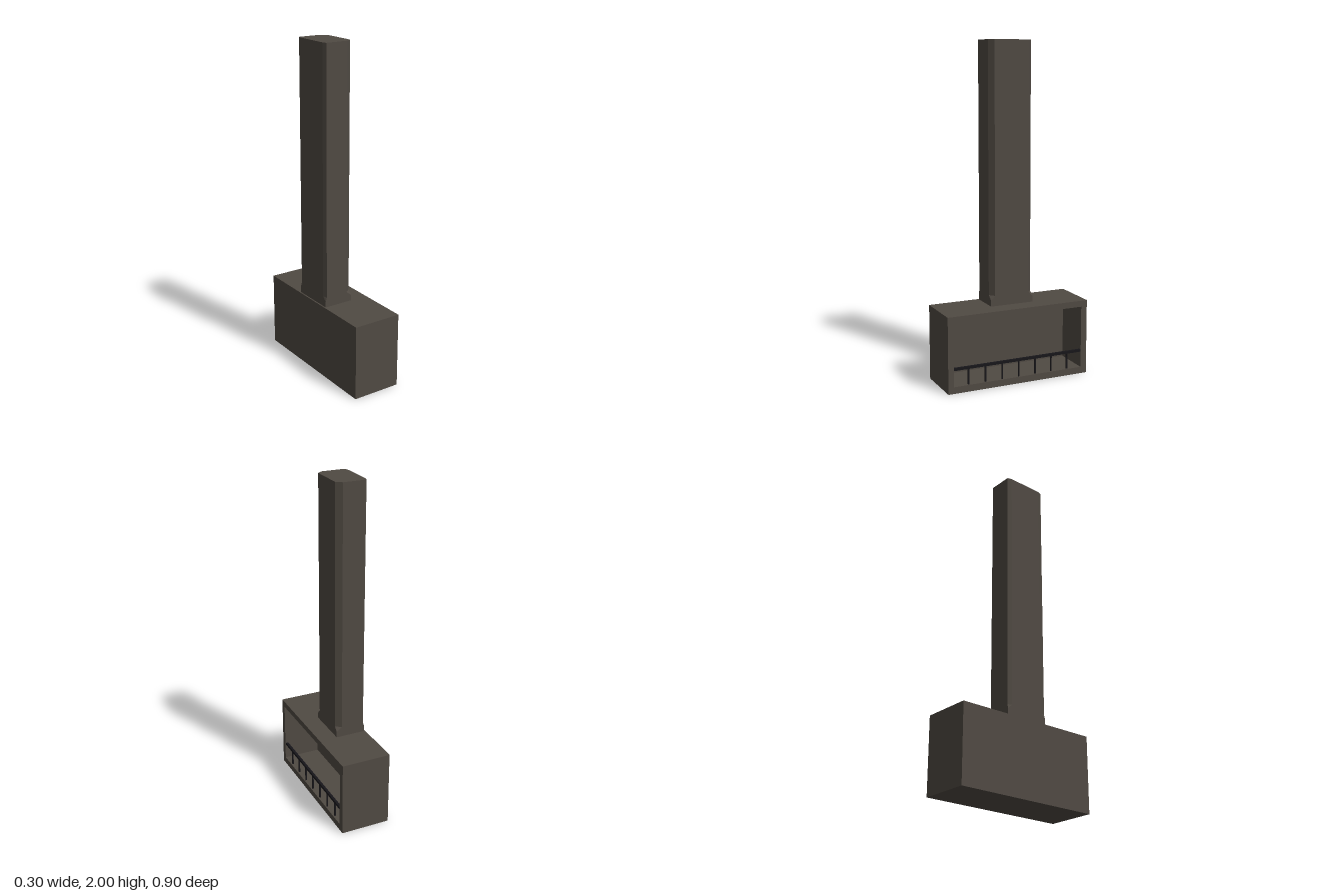
import * as THREE from 'three';

const stone = new THREE.MeshStandardMaterial({ color: 0x504a43, flatShading: true });
const iron = new THREE.MeshStandardMaterial({ color: 0x17161a, flatShading: true });

function add(group, name, geometry, material, x = 0, y = 0, z = 0) {
  const mesh = new THREE.Mesh(geometry, material);
  mesh.name = name;
  mesh.position.set(x, y, z);
  group.add(mesh);
  return mesh;
}

function rectangle(target, x0, y0, x1, y1) {
  target.moveTo(x0, y0);
  target.lineTo(x1, y0);
  target.lineTo(x1, y1);
  target.lineTo(x0, y1);
  target.closePath();
  return target;
}

// Flat-faced loft through closed rings, skipping collapsed triangles
function loft(rings) {
  const pos = [];
  const tri = (a, b, c) => {
    const area = b.clone().sub(a).cross(c.clone().sub(a)).length();
    if (area > 1e-9) [a, b, c].forEach((p) => pos.push(p.x, p.y, p.z));
  };
  const n = rings[0].length;
  for (let r = 0; r < rings.length - 1; r++) {
    const lo = rings[r], hi = rings[r + 1];
    for (let i = 0; i < n; i++) {
      const j = (i + 1) % n;
      tri(lo[i], lo[j], hi[j]);
      tri(lo[i], hi[j], hi[i]);
    }
  }
  const top = rings[rings.length - 1], bottom = rings[0];
  for (let i = 1; i < n - 1; i++) {
    tri(top[0], top[i], top[i + 1]);
    tri(bottom[0], bottom[i + 1], bottom[i]);
  }
  const geometry = new THREE.BufferGeometry();
  geometry.setAttribute('position', new THREE.Float32BufferAttribute(pos, 3));
  geometry.computeVertexNormals();
  return geometry;
}

// Chimney cross-section: k = 0 gives square corners, k = 1 full chamfers
function stackRing(y, k) {
  const x0 = -0.142, x1 = 0.04, z0 = -0.138, z1 = 0.133;
  const wide = 0.034 * k, narrow = 0.008 * k, cz = 0.026 * k;
  return [
    [x0 + narrow, z1], [x1 - wide, z1], [x1, z1 - cz], [x1, z0 + cz],
    [x1 - wide, z0], [x0 + narrow, z0], [x0, z0 + cz], [x0, z1 - cz],
  ].map(([x, z]) => new THREE.Vector3(x, y, z));
}

export function createModel() {
  const model = new THREE.Group();
  model.name = 'fireplace';

  // Firebox: open frame facing +x, closed by a thick back wall
  const firebox = new THREE.Group();
  firebox.name = 'firebox';
  model.add(firebox);
  const frame = rectangle(new THREE.Shape(), -0.45, 0, 0.45, 0.455);
  frame.holes.push(rectangle(new THREE.Path(), -0.415, 0.04, 0.412, 0.418));
  const frameGeometry = new THREE.ExtrudeGeometry(frame, { depth: 0.23, bevelEnabled: false });
  frameGeometry.rotateY(Math.PI / 2);
  add(firebox, 'fireboxFrame', frameGeometry, stone, -0.08);
  add(firebox, 'fireboxBack', new THREE.BoxGeometry(0.07, 0.455, 0.9), stone, -0.115, 0.2275, 0);

  // Chimney stack with chamfers that stop just above its base
  add(model, 'chimneyStack',
    loft([stackRing(0.455, 0), stackRing(0.49, 0), stackRing(0.517, 1), stackRing(2, 1)]), stone);

  // Fire guard: top rail and evenly spaced posts
  const guard = new THREE.Group();
  guard.name = 'fireGuard';
  model.add(guard);
  add(guard, 'guardRail', new THREE.BoxGeometry(0.015, 0.015, 0.827), iron, 0.138, 0.142, 0.0015);
  for (let i = -3; i <= 3; i++) {
    add(guard, 'guardPost', new THREE.BoxGeometry(0.008, 0.098, 0.008), iron, 0.138, 0.088, i * 0.107);
  }

  return model;
}
